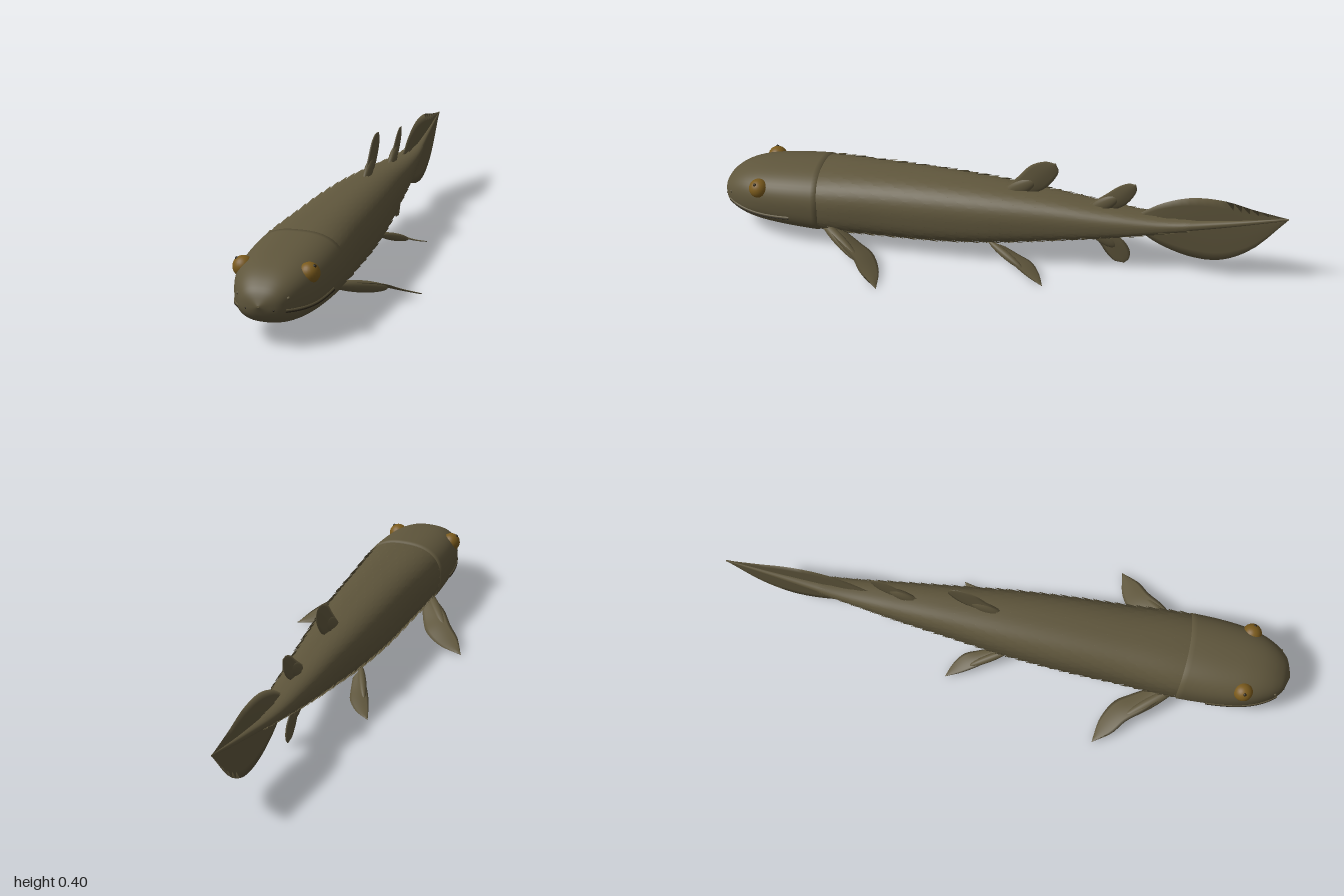
import * as THREE from 'three';
import { mergeVertices, mergeGeometries } from 'three/addons/utils/BufferGeometryUtils.js';

// z, top, bottom, half width of the body
const PROFILE = [
  [-1, 0.29, 0.282, 0.002], [-0.8, 0.254, 0.226, 0.018], [-0.6, 0.233, 0.18, 0.041],
  [-0.4, 0.245, 0.135, 0.067], [-0.2, 0.264, 0.098, 0.09], [0, 0.278, 0.066, 0.113],
  [0.2, 0.284, 0.046, 0.128], [0.4, 0.283, 0.04, 0.137], [0.63, 0.276, 0.041, 0.149],
  [0.8, 0.258, 0.049, 0.14], [0.87, 0.245, 0.056, 0.126], [0.92, 0.228, 0.066, 0.106],
  [0.96, 0.203, 0.082, 0.08], [0.985, 0.176, 0.103, 0.05], [1, 0.142, 0.138, 0.003],
];
const sampler = new THREE.CubicInterpolant(
  PROFILE.map((p) => p[0]), PROFILE.flatMap((p) => p.slice(1)), 3, new Float32Array(3));

// Point on the rounded-box cross-section at z, with an outward lift
function skin(z, angle, lift = 0) {
  const [top, bottom, half] = sampler.evaluate(z);
  const c = Math.cos(angle), s = Math.sin(angle), n = 2.5;
  const r = (Math.abs(c) ** n + Math.abs(s) ** n) ** (-1 / n);
  return [c * (half * r + lift), (top + bottom) / 2 + s * ((top - bottom) / 2 * r + lift), z];
}

// Surface through a grid of points fn(u, v)
function surface(nu, nv, fn) {
  const pos = [], idx = [];
  for (let i = 0; i <= nu; i++) {
    for (let j = 0; j <= nv; j++) {
      pos.push(...fn(i / nu, j / nv));
      if (i < nu && j < nv) {
        const a = i * (nv + 1) + j, b = a + nv + 1;
        idx.push(a, b, b + 1, a, b + 1, a + 1);
      }
    }
  }
  let g = new THREE.BufferGeometry();
  g.setAttribute('position', new THREE.Float32BufferAttribute(pos, 3));
  g.setIndex(idx);
  g = mergeVertices(g, 1e-5);
  g.computeVertexNormals();
  return g;
}

const curve = (pts) => new THREE.CatmullRomCurve3(pts.map((p) => new THREE.Vector3(...p)));

// Lens-section blade between a leading and a trailing edge
function blade(leadPts, trailPts, normal, thick) {
  const lead = curve(leadPts), trail = curve(trailPts);
  const n = new THREE.Vector3(...normal).normalize();
  return surface(18, 16, (u, v) => {
    const side = v < 0.5 ? 1 : -1, c = v < 0.5 ? v * 2 : 2 - v * 2;
    return lead.getPoint(u).lerp(trail.getPoint(u), c)
      .addScaledVector(n, side * thick * (1 - 0.75 * u) * Math.sin(Math.PI * c)).toArray();
  });
}

export function createModel() {
  const group = new THREE.Group();
  const mat = (name, color) => new THREE.MeshStandardMaterial({ name, color, side: THREE.DoubleSide });
  const olive = mat('olive skin', 0x5f563c);
  const amber = mat('amber eye', 0x7a5a1c);
  const dark = mat('dark brown', 0x2a2418);
  const add = (name, geometry, material = olive) => {
    const m = new THREE.Mesh(geometry, material);
    m.name = name;
    group.add(m);
    return m;
  };
  const ball = (name, p, r, material) =>
    add(name, new THREE.SphereGeometry(r, 24, 16), material).position.set(...p);
  // Fleshy fin root between two points
  const lobe = (name, a, b, rx, rz) => {
    const A = new THREE.Vector3(...a), B = new THREE.Vector3(...b);
    const m = add(name, new THREE.SphereGeometry(1, 20, 14));
    m.position.copy(A).lerp(B, 0.5);
    m.scale.set(rx, A.distanceTo(B) / 2, rz);
    m.quaternion.setFromUnitVectors(new THREE.Vector3(0, 1, 0), B.sub(A).normalize());
  };

  // Trunk under the scales
  add('body', surface(60, 48, (u, v) => {
    const z = 0.67 - 1.67 * u;
    return skin(z, v * Math.PI * 2, -0.007 * Math.min(1, (z + 1) / 0.7));
  }));

  // Smooth head, its rear rim turned inwards over the trunk
  add('head', surface(30, 64, (u, v) => {
    const a = v * Math.PI * 2;
    const rim = 0.635 - 0.015 * Math.cos(a) ** 2;
    const t = Math.min(1, u * 30 / 29);
    return skin(rim + (1 - rim) * Math.cos(t * Math.PI / 2), a, u === 1 ? -0.014 : 0.001);
  }));

  // Overlapping staggered scales
  const scales = [], around = 26, step = 0.038;
  for (let row = 0; row < 34; row++) {
    const z0 = 0.66 - row * step;
    const size = Math.min(1, (z0 + 1) / 0.8);
    for (let k = 0; k < around; k++) {
      const mid = (k + (row % 2) / 2) / around * Math.PI * 2;
      scales.push(surface(5, 4, (u, v) => {
        const width = Math.sqrt(Math.max(0, 1 - u ** 2.4)) * 1.1;
        const a = mid + (v - 0.5) * width * Math.PI * 2 / around;
        return skin(z0 - u * 0.082, a, (-0.008 + 0.011 * u) * size);
      }));
    }
  }
  add('scales', mergeGeometries(scales));

  // Midline fins, given as [z, y] edges
  const mid = (pts) => pts.map(([z, y]) => [0, y, z]);
  const midFin = (name, lead, trail, thick) =>
    add(name, blade(mid(lead), mid(trail), [1, 0, 0], thick));
  midFin('frontDorsalFin', [[-0.02, 0.265], [-0.07, 0.325], [-0.115, 0.378], [-0.165, 0.399], [-0.2, 0.395]],
    [[-0.11, 0.255], [-0.16, 0.285], [-0.193, 0.325], [-0.21, 0.365], [-0.2, 0.395]], 0.008);
  midFin('rearDorsalFin', [[-0.31, 0.24], [-0.375, 0.295], [-0.42, 0.335], [-0.455, 0.352], [-0.478, 0.35]],
    [[-0.4, 0.23], [-0.445, 0.262], [-0.472, 0.3], [-0.482, 0.33], [-0.478, 0.35]], 0.008);
  midFin('analFin', [[-0.3, 0.14], [-0.355, 0.095], [-0.385, 0.05], [-0.415, 0.02], [-0.45, 0.016]],
    [[-0.4, 0.145], [-0.45, 0.105], [-0.468, 0.07], [-0.466, 0.035], [-0.45, 0.016]], 0.008);
  midFin('tailFin', [[-0.49, 0.23], [-0.57, 0.287], [-0.67, 0.325], [-0.78, 0.329], [-0.88, 0.308], [-1, 0.288]],
    [[-0.49, 0.165], [-0.57, 0.115], [-0.68, 0.08], [-0.78, 0.082], [-0.88, 0.138], [-1, 0.284]], 0.006);
  lobe('frontDorsalLobe', [0, 0.24, -0.02], [0, 0.315, -0.13], 0.014, 0.028);
  lobe('rearDorsalLobe', [0, 0.215, -0.32], [0, 0.29, -0.42], 0.014, 0.026);
  lobe('analLobe', [0, 0.16, -0.31], [0, 0.08, -0.42], 0.014, 0.026);

  for (const s of [1, -1]) {
    const side = s > 0 ? 'left' : 'right';
    const flip = (pts) => pts.map(([x, y, z]) => [s * x, y, z]);
    // Paired fins
    add(side + 'PectoralFin', blade(
      flip([[0.12, 0.1, 0.6], [0.2, 0.083, 0.525], [0.245, 0.062, 0.465], [0.288, 0.036, 0.425], [0.325, 0.006, 0.36]]),
      flip([[0.11, 0.075, 0.53], [0.14, 0.052, 0.465], [0.17, 0.04, 0.415], [0.235, 0.02, 0.375], [0.325, 0.006, 0.36]]),
      [s * 0.45, 0.85, -0.25], 0.008));
    lobe(side + 'PectoralLobe', [s * 0.1, 0.098, 0.62], [s * 0.235, 0.045, 0.445], 0.02, 0.02);
    add(side + 'PelvicFin', blade(
      flip([[0.08, 0.085, 0.01], [0.118, 0.06, -0.05], [0.145, 0.042, -0.095], [0.165, 0.023, -0.14], [0.184, 0.006, -0.195]]),
      flip([[0.065, 0.065, -0.04], [0.08, 0.048, -0.095], [0.096, 0.036, -0.14], [0.13, 0.018, -0.172], [0.184, 0.006, -0.195]]),
      [s * 0.45, 0.85, -0.25], 0.006));
    lobe(side + 'PelvicLobe', [s * 0.07, 0.085, 0.02], [s * 0.138, 0.035, -0.115], 0.014, 0.014);

    // Eyes
    ball(side + 'Eye', [s * 0.108, 0.209, 0.842], 0.034, amber);
    ball(side + 'Pupil', [s * 0.127, 0.234, 0.848], 0.006, dark);

    // Nostrils and mouth line, laid on the head
    const [nx, ny, nz] = skin(0.956, 0.3);
    ball(side + 'Nostril', [s * nx, ny, nz], 0.005, olive);
    ball(side + 'LipPore', [s * 0.045, 0.128, 0.986], 0.003, dark);
    const lip = [];
    for (let i = 0; i <= 8; i++) {
      const z = 0.965 - i * 0.03;
      const [top, bottom] = sampler.evaluate(z);
      const y = 0.125 - 0.008 * Math.sin(i / 8 * Math.PI);
      const t = (y - (top + bottom) / 2) / ((top - bottom) / 2);
      const half = sampler.evaluate(z)[2];
      lip.push([s * half * (1 - Math.abs(t) ** 2.5) ** 0.4, y, z]);
    }
    add(side + 'Lip', new THREE.TubeGeometry(curve(lip), 40, 0.005, 8));
    add(side + 'MouthLine', new THREE.TubeGeometry(curve(lip.map(([x, y, z]) => [x + s * 0.003, y - 0.004, z])), 40, 0.003, 6), dark);
  }
  return group;
}
